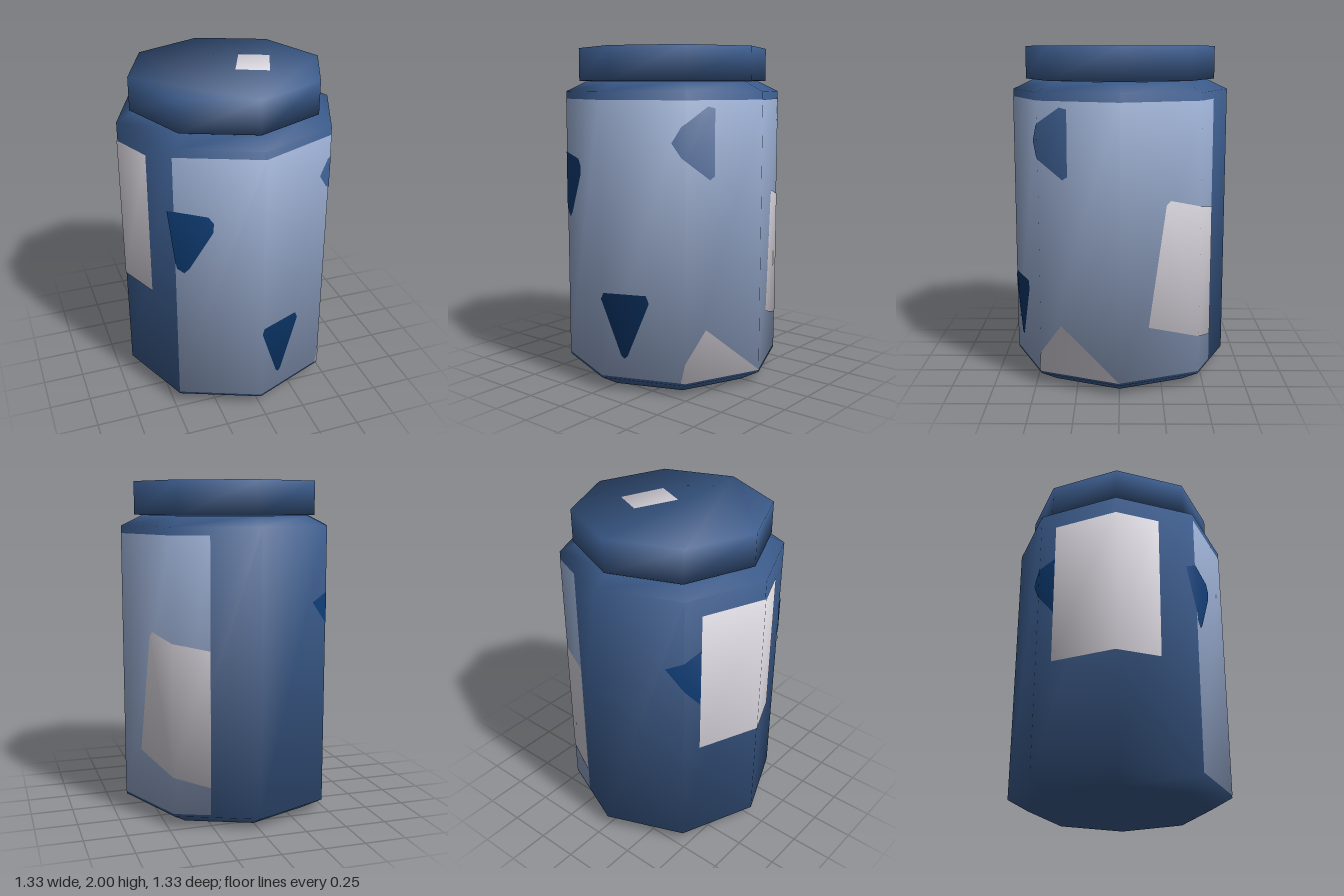
import * as THREE from 'three';

const SIDES = 8, STEP = (Math.PI * 2) / SIDES;
const R = 0.66, WALL_LOW = 0.07, WALL_HIGH = 1.74, TILT = 0.47;

const mat = (name, color) => {
  const m = new THREE.MeshStandardMaterial({ color });
  m.name = name;
  return m;
};

function build(pos, nor, index) {
  const g = new THREE.BufferGeometry();
  g.setAttribute('position', new THREE.Float32BufferAttribute(pos, 3));
  g.setAttribute('normal', new THREE.Float32BufferAttribute(nor, 3));
  if (index) g.setIndex(index);
  return g;
}

// Closed eight-sided solid from rings [radius, y, normal outward, normal up], softly shaded
function prism(rings) {
  const pos = [], nor = [], idx = [];
  rings.forEach(([r, y, nr, ny]) => {
    for (let i = 0; i < SIDES; i++) {
      const s = Math.sin(i * STEP), c = Math.cos(i * STEP);
      pos.push(s * r, y, c * r);
      nor.push(s * nr, ny, c * nr);
    }
  });
  for (let k = 0; k < rings.length - 1; k++) {
    for (let i = 0; i < SIDES; i++) {
      const a = k * SIDES + i, b = k * SIDES + ((i + 1) % SIDES);
      idx.push(a, b, b + SIDES, a, b + SIDES, a + SIDES);
    }
  }
  const top = (rings.length - 1) * SIDES;
  for (let i = 1; i < SIDES - 1; i++) {
    idx.push(0, i + 1, i);
    idx.push(top, top + i, top + i + 1);
  }
  return build(pos, nor, idx);
}

// Keep the part of a polygon where sign * (u - limit) >= 0
function clip(poly, limit, sign) {
  const out = [];
  poly.forEach((a, i) => {
    const b = poly[(i + 1) % poly.length];
    const da = sign * (a[0] - limit), db = sign * (b[0] - limit);
    if (da >= 0) out.push(a);
    if (da * db < 0) {
      const t = da / (da - db);
      out.push([limit, a[1] + (b[1] - a[1]) * t]);
    }
  });
  return out;
}

// Thin patch wrapped on the wall; u counts wall faces from the front corner, y is height
function wallPatch(poly, lift) {
  const pos = [], nor = [];
  const signed = poly.reduce((s, a, i) => {
    const b = poly[(i + 1) % poly.length];
    return s + a[0] * b[1] - b[0] * a[1];
  }, 0);
  const ccw = signed < 0 ? [...poly].reverse() : poly;
  const us = poly.map((p) => p[0]);
  for (let k = Math.floor(Math.min(...us)); k < Math.max(...us); k++) {
    const part = clip(clip(ccw, k, 1), k + 1, -1);
    const put = ([u, y]) => {
      const t = u - k, a = k * STEP, b = a + STEP;
      const x = Math.sin(a) * (1 - t) + Math.sin(b) * t;
      const z = Math.cos(a) * (1 - t) + Math.cos(b) * t;
      const ny = TILT * (2 * (y - WALL_LOW) / (WALL_HIGH - WALL_LOW) - 1);
      pos.push(x * (R + lift), y, z * (R + lift));
      nor.push(x * 0.88, ny, z * 0.88);
    };
    for (let i = 1; i < part.length - 1; i++) [part[0], part[i], part[i + 1]].forEach(put);
  }
  return build(pos, nor);
}

export function createModel() {
  const blue = mat('jar blue', 0x3b5b8b);
  const pale = mat('label pale blue', 0x95a8cb);
  const white = mat('patch off-white', 0xd9d6de);
  const navy = mat('mark navy', 0x0d3a70);

  const model = new THREE.Group();
  model.name = 'jar';
  const add = (name, geometry, material) => {
    const m = new THREE.Mesh(geometry, material);
    m.name = name;
    model.add(m);
  };

  // Bevelled body and overhanging lid
  add('body', prism([
    [0.535, 0, 0.28, -0.96], [R, WALL_LOW, 0.88, -TILT],
    [R, WALL_HIGH, 0.88, TILT], [0.535, 1.8, 0.28, 0.96],
  ]), blue);
  add('lid', prism([[0.58, 1.803, 0.78, -0.63], [0.58, 2, 0.78, 0.63]]), blue);

  // Wrap-around label
  add('label', wallPatch([[-1, 0.085], [3.43, 0.085], [3.43, 1.695], [-1, 1.695]], 0.002), pale);

  // Triangular marks
  add('frontLowMark', wallPatch([
    [0, 0.55], [0.03, 0.585], [0.54, 0.585], [0.575, 0.54], [0.32, 0.22], [0.28, 0.2], [0.24, 0.22],
  ], 0.005), navy);
  add('frontRightMark', wallPatch([
    [-1.12, 1.35], [-1, 1.37], [-0.62, 1.34], [-0.56, 1.3], [-0.57, 1.24],
    [-0.84, 1.0], [-0.9, 0.97], [-0.98, 1.0],
  ], 0.005), navy);
  add('backMark', wallPatch([[4.78, 1.3], [5.25, 1.42], [5.25, 1.02]], 0.002), navy);
  add('upperLeftMark', wallPatch([
    [0.84, 1.46], [0.95, 1.55], [1.28, 1.66], [1.37, 1.65], [1.37, 1.27], [1.31, 1.25], [0.95, 1.38],
  ], 0.005), blue);

  // Off-white patches
  add('lowerLeftPatch', wallPatch([[0.95, 0.085], [1, 0.2], [1.27, 0.385], [2, 0.085]], 0.005), white);
  add('leftPatch', wallPatch([
    [2.36, 0.4], [2.57, 1.11], [2.62, 1.135], [3, 1.09], [3.43, 1.05], [3.43, 0.25], [3, 0.305],
  ], 0.005), white);
  add('rightPatch', wallPatch([[5.21, 0.73], [6.54, 0.73], [6.54, 1.63], [5.21, 1.63]], 0.005), white);

  // Small patch on the lid, shaded like the lid
  const corners = [[0.14, -0.175], [0.03, 0.08], [0.21, 0.16], [0.31, -0.1]];
  add('lidPatch', build(
    corners.flatMap(([x, z]) => [x, 2.001, z]),
    corners.flatMap(([x, z]) => [x / 0.58 * 0.78, 0.63, z / 0.58 * 0.78]),
    [0, 1, 2, 0, 2, 3],
  ), white);

  return model;
}
